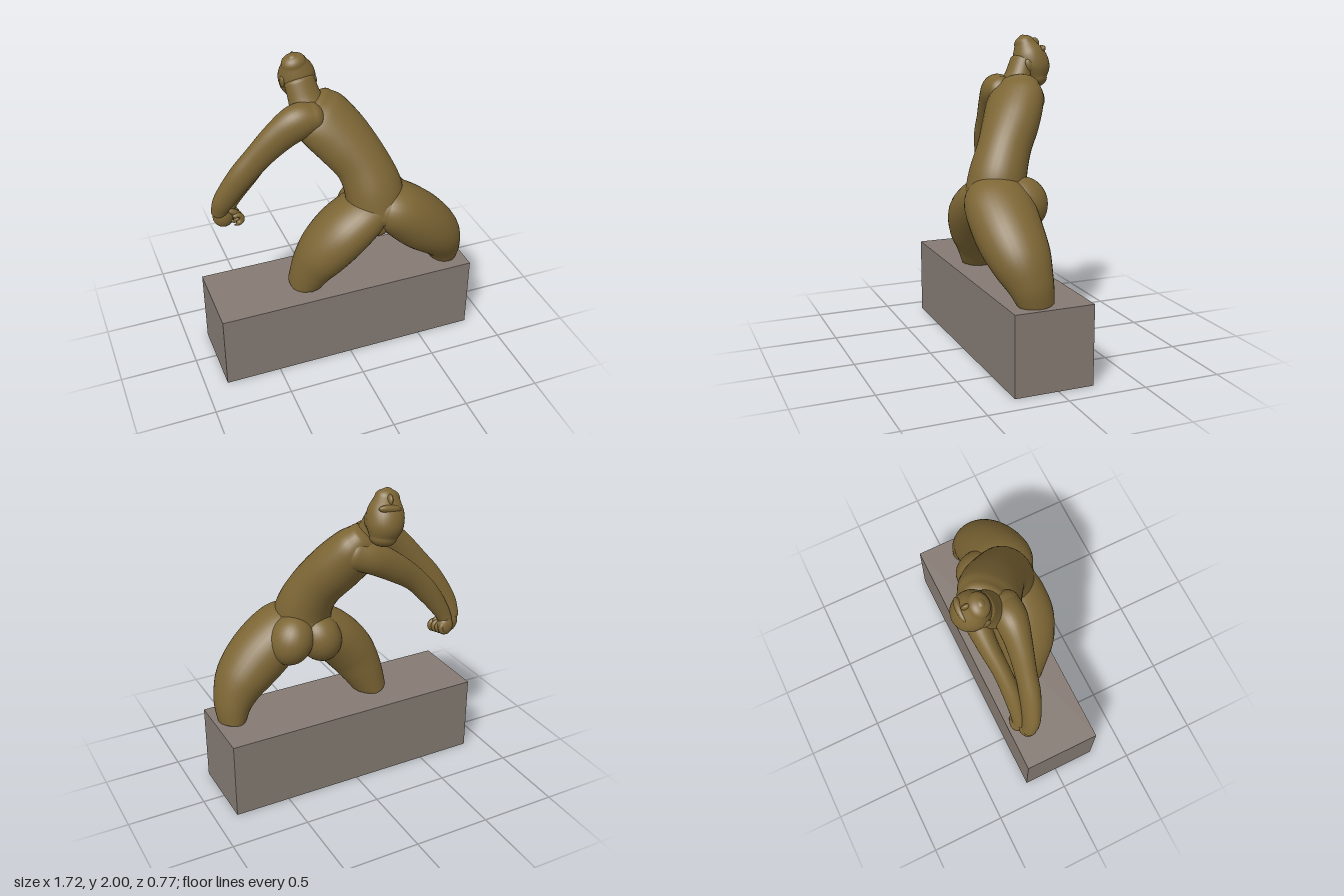
import * as THREE from 'three';

const BASE_TOP = 0.505;

// Smooth limb: rows are [x, y, z, radius along side, radius across], with domed ends.
function loft(rows, side, capStart, capEnd, segs = 40, sides = 32) {
  const path = new THREE.CatmullRomCurve3(rows.map(r => new THREE.Vector3(r[0], r[1], r[2])), false, 'catmullrom', 0.5);
  const radii = new THREE.CatmullRomCurve3(rows.map(r => new THREE.Vector3(r[3], r[4], 0)), false, 'catmullrom', 0.5);
  const rings = [];
  const dome = 8;
  for (let i = dome; i > 0; i--) rings.push([0, -i / dome, capStart]);
  for (let i = 0; i <= segs; i++) rings.push([i / segs, 0, 0]);
  for (let i = 1; i <= dome; i++) rings.push([1, i / dome, capEnd]);
  const pos = [], index = [];
  rings.forEach(([t, k, cap], i) => {
    const c = path.getPoint(t), r = radii.getPoint(t), tan = path.getTangent(t);
    const u = side.clone().addScaledVector(tan, -side.dot(tan)).normalize();
    const v = tan.clone().cross(u);
    const a = k * Math.PI * 0.495, s = Math.cos(a);
    c.addScaledVector(tan, cap * Math.sin(a));
    for (let j = 0; j < sides; j++) {
      const th = (j / sides) * Math.PI * 2;
      const p = c.clone().addScaledVector(u, r.x * s * Math.cos(th)).addScaledVector(v, r.y * s * Math.sin(th));
      pos.push(p.x, Math.max(p.y, BASE_TOP - 0.003), p.z);
      if (i < rings.length - 1) {
        const n = (j + 1) % sides, q = i * sides, w = q + sides;
        index.push(q + j, q + n, w + j, q + n, w + n, w + j);
      }
    }
  });
  const g = new THREE.BufferGeometry();
  g.setAttribute('position', new THREE.Float32BufferAttribute(pos, 3));
  g.setIndex(index);
  g.computeVertexNormals();
  return g;
}

export function createModel() {
  const bronze = new THREE.MeshStandardMaterial({ color: 0x7d6635 });
  bronze.name = 'bronze';
  const stone = new THREE.MeshStandardMaterial({ color: 0x857b73, side: THREE.DoubleSide });
  stone.name = 'stone';

  const model = new THREE.Group();
  model.name = 'statue';
  const figure = new THREE.Group();
  figure.name = 'figure';
  model.add(figure);

  const add = (parent, name, geo, mat = bronze) => {
    const m = new THREE.Mesh(geo, mat);
    m.name = name;
    parent.add(m);
    return m;
  };
  const blob = (parent, name, p, r, rot = [0, 0, 0]) => {
    const m = add(parent, name, new THREE.SphereGeometry(1, 28, 20));
    m.position.set(...p);
    m.scale.set(...r);
    m.rotation.set(...rot);
    return m;
  };
  const X = new THREE.Vector3(1, 0, 0), Z = new THREE.Vector3(0, 0, 1);

  // Plinth: a hollow block, open underneath
  const block = new THREE.BoxGeometry(1.72, BASE_TOP, 0.505);
  const faces = Array.from(block.index.array);
  faces.splice(18, 6);
  block.setIndex(faces);
  block.clearGroups();
  add(model, 'plinth', block, stone).position.set(0, BASE_TOP / 2, 0.025);

  // Torso leans back and twists towards the right shoulder
  add(figure, 'torso', loft([
    [0.21, 1.03, 0.13, 0.19, 0.20],
    [0.205, 1.17, 0.115, 0.187, 0.175],
    [0.15, 1.33, 0.05, 0.175, 0.16],
    [0.05, 1.48, -0.04, 0.195, 0.16],
    [-0.05, 1.60, -0.11, 0.20, 0.145],
    [-0.10, 1.665, -0.14, 0.165, 0.115],
  ], new THREE.Vector3(1, 0, -0.3), 0.12, 0.06), bronze);

  // Thighs spread wide, cut flat where they meet the plinth
  add(figure, 'leftLeg', loft([
    [0.25, 1.06, 0.14, 0.19, 0.15],
    [0.36, 1.01, 0.165, 0.215, 0.175],
    [0.51, 0.88, 0.165, 0.21, 0.187],
    [0.64, 0.75, 0.145, 0.185, 0.165],
    [0.715, 0.62, 0.115, 0.14, 0.125],
    [0.745, 0.49, 0.085, 0.105, 0.085],
  ], Z, 0.1, 0.02));
  add(figure, 'rightLeg', loft([
    [0.18, 1.05, 0.13, 0.19, 0.13],
    [0.09, 0.99, 0.14, 0.205, 0.155],
    [-0.02, 0.90, 0.14, 0.21, 0.168],
    [-0.12, 0.78, 0.12, 0.19, 0.165],
    [-0.19, 0.65, 0.085, 0.155, 0.14],
    [-0.255, 0.49, 0.05, 0.12, 0.1],
  ], Z, 0.1, 0.02));
  blob(figure, 'leftButtock', [0.35, 1.02, 0.01], [0.14, 0.165, 0.155], [0, 0, 0.4]);
  blob(figure, 'rightButtock', [0.15, 0.99, 0.015], [0.14, 0.165, 0.155], [0, 0, -0.4]);
  blob(figure, 'groin', [0.2, 0.96, 0.2], [0.065, 0.085, 0.1]);

  // Both arms are drawn across to the right, hands together
  add(figure, 'rightArm', loft([
    [-0.13, 1.655, -0.06, 0.10, 0.09],
    [-0.23, 1.635, -0.055, 0.10, 0.115],
    [-0.35, 1.55, -0.065, 0.08, 0.105],
    [-0.48, 1.42, -0.085, 0.066, 0.09],
    [-0.59, 1.29, -0.105, 0.064, 0.085],
    [-0.69, 1.13, -0.14, 0.055, 0.072],
    [-0.725, 1.03, -0.17, 0.045, 0.052],
  ], Z, 0.07, 0.04));
  add(figure, 'leftArm', loft([
    [0.01, 1.61, -0.20, 0.08, 0.10],
    [-0.10, 1.57, -0.225, 0.08, 0.10],
    [-0.25, 1.48, -0.225, 0.065, 0.09],
    [-0.41, 1.36, -0.205, 0.055, 0.075],
    [-0.53, 1.23, -0.195, 0.055, 0.07],
    [-0.62, 1.10, -0.20, 0.045, 0.055],
    [-0.66, 1.02, -0.205, 0.04, 0.045],
  ], Z, 0.07, 0.03));

  // Hands: two palms with curled fingers
  const hands = new THREE.Group();
  hands.name = 'hands';
  figure.add(hands);
  blob(hands, 'rightPalm', [-0.7, 0.985, -0.175], [0.065, 0.075, 0.05], [0, 0, 0.35]);
  blob(hands, 'leftPalm', [-0.65, 0.985, -0.215], [0.055, 0.065, 0.045]);
  for (let i = 0; i < 4; i++) {
    const z = -0.14 - i * 0.031;
    const finger = add(hands, 'finger' + (i + 1), new THREE.TorusGeometry(0.03, 0.017, 10, 18, Math.PI * 1.5));
    finger.position.set(-0.615 - i * 0.008, 0.965 + i * 0.004, z);
    finger.rotation.z = -Math.PI * 0.75;
  }
  blob(hands, 'thumb', [-0.635, 1.015, -0.155], [0.045, 0.02, 0.02], [0, 0, -0.5]);

  // Neck and thrown-back head
  add(figure, 'neck', loft([
    [-0.12, 1.64, -0.13, 0.13, 0.11],
    [-0.14, 1.73, -0.165, 0.105, 0.085],
    [-0.16, 1.83, -0.205, 0.095, 0.075],
  ], X, 0.03, 0.04));
  const head = new THREE.Group();
  head.name = 'head';
  figure.add(head);
  add(head, 'skull', loft([
    [-0.13, 1.72, -0.285, 0.085, 0.075],
    [-0.145, 1.79, -0.275, 0.113, 0.11],
    [-0.165, 1.87, -0.25, 0.111, 0.105],
    [-0.185, 1.945, -0.23, 0.077, 0.065],
  ], X, 0.055, 0.05));
  blob(head, 'brow', [-0.15, 1.905, -0.325], [0.075, 0.025, 0.03], [0.7, 0.1, 0.15]);
  blob(head, 'nose', [-0.165, 1.95, -0.295], [0.016, 0.034, 0.03], [0.5, 0, 0.2]);
  blob(head, 'lips', [-0.175, 1.973, -0.258], [0.03, 0.013, 0.018], [0.5, 0, 0.15]);
  blob(head, 'chin', [-0.187, 1.972, -0.222], [0.038, 0.028, 0.028]);
  blob(head, 'leftEar', [-0.062, 1.815, -0.215], [0.018, 0.042, 0.028], [0.4, 0, 0.1]);
  blob(head, 'rightEar', [-0.262, 1.83, -0.225], [0.014, 0.042, 0.028], [0.4, 0, 0.1]);

  return model;
}
